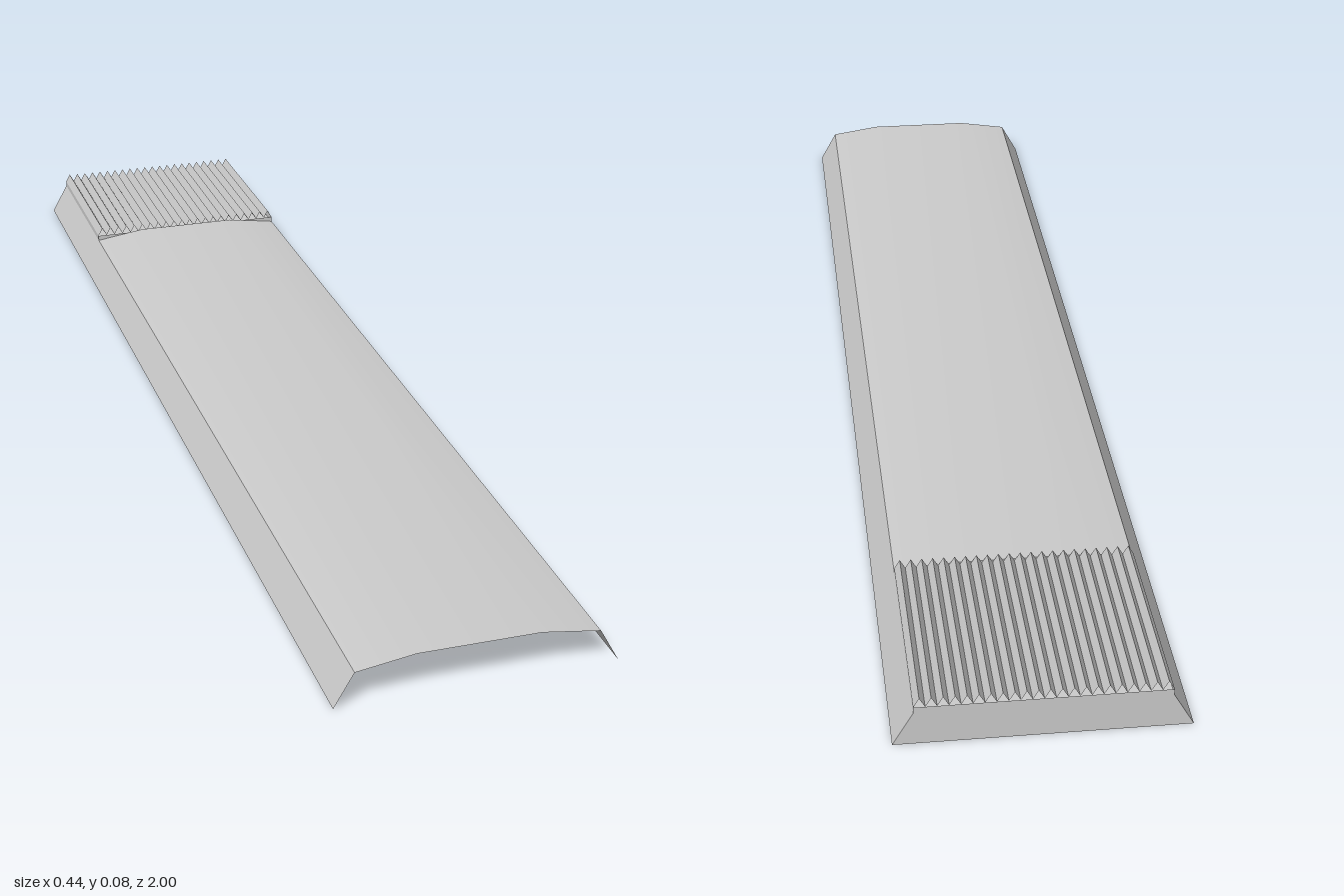
import * as THREE from 'three';

const BACK = -1, STEP = -0.665, FRONT = 1;   // z stations
const FOOT = 0.218, EDGE = 0.187;            // half widths at floor and shoulder
const SHOULDER = 0.055, RIM = 0.065, PEAK = 0.08;

const material = new THREE.MeshStandardMaterial({ color: 0xcccccc, side: THREE.DoubleSide });

// Sweep an open [x, y] profile (running left to right, facing up) along z
function sheet(name, profile, z0, z1, smooth = false) {
  const pos = [], index = [];
  profile.forEach(([x, y], i) => {
    pos.push(x, y, z0, x, y, z1);
    if (i) {
      const a = 2 * i - 2;
      index.push(a, a + 1, a + 2, a + 2, a + 1, a + 3);
    }
  });
  let geo = new THREE.BufferGeometry();
  geo.setAttribute('position', new THREE.Float32BufferAttribute(pos, 3));
  geo.setIndex(index);
  if (!smooth) geo = geo.toNonIndexed();
  geo.computeVertexNormals();
  const mesh = new THREE.Mesh(geo, material);
  mesh.name = name;
  return mesh;
}

// Flat upright panel in the xy plane, optionally facing the back
function panel(name, outline, z, faceBack = false) {
  const shape = new THREE.Shape(outline.map(([x, y]) => new THREE.Vector2(x, y)));
  const geo = new THREE.ShapeGeometry(shape);
  if (faceBack) geo.rotateY(Math.PI);
  const mesh = new THREE.Mesh(geo, material);
  mesh.position.z = z;
  mesh.name = name;
  return mesh;
}

export function createModel() {
  const group = new THREE.Group();
  group.name = 'slidingCover';

  // Gently arched top plate
  const arch = [[-EDGE, SHOULDER], [-0.095, 0.069], [0.095, 0.069], [EDGE, SHOULDER]];
  group.add(sheet('archedTop', arch, STEP, FRONT, true));

  // Sloping side walls along the full length
  group.add(sheet('rightSkirt', [[-FOOT, 0], [-EDGE, SHOULDER]], BACK, FRONT));
  group.add(sheet('leftSkirt', [[EDGE, SHOULDER], [FOOT, 0]], BACK, FRONT));

  // Closed back end
  group.add(panel('backWall', [
    [-FOOT, 0], [FOOT, 0], [EDGE, SHOULDER], [EDGE, RIM], [-EDGE, RIM], [-EDGE, SHOULDER],
  ], BACK, true));

  // Step between the arched top and the grip
  group.add(panel('gripStep', [
    [-EDGE, SHOULDER], [EDGE, SHOULDER], [EDGE, RIM], [0.122, RIM],
    [0.095, 0.069], [-0.095, 0.069], [-0.122, RIM], [-EDGE, RIM],
  ], STEP));

  // Flat plate under the grip
  group.add(sheet('gripFloor', [[-EDGE, SHOULDER], [EDGE, SHOULDER]], BACK, STEP));

  // Ribbed thumb grip with short upright sides
  const ribs = 22, pitch = 2 * EDGE / ribs;
  const ridges = [[-EDGE, SHOULDER], [-EDGE, RIM]];
  for (let i = 0; i < ribs; i++) {
    const x = -EDGE + i * pitch;
    ridges.push([x + pitch / 2, PEAK], [x + pitch, RIM]);
  }
  ridges.push([EDGE, SHOULDER]);
  group.add(sheet('gripRidges', ridges, BACK, STEP));

  return group;
}
